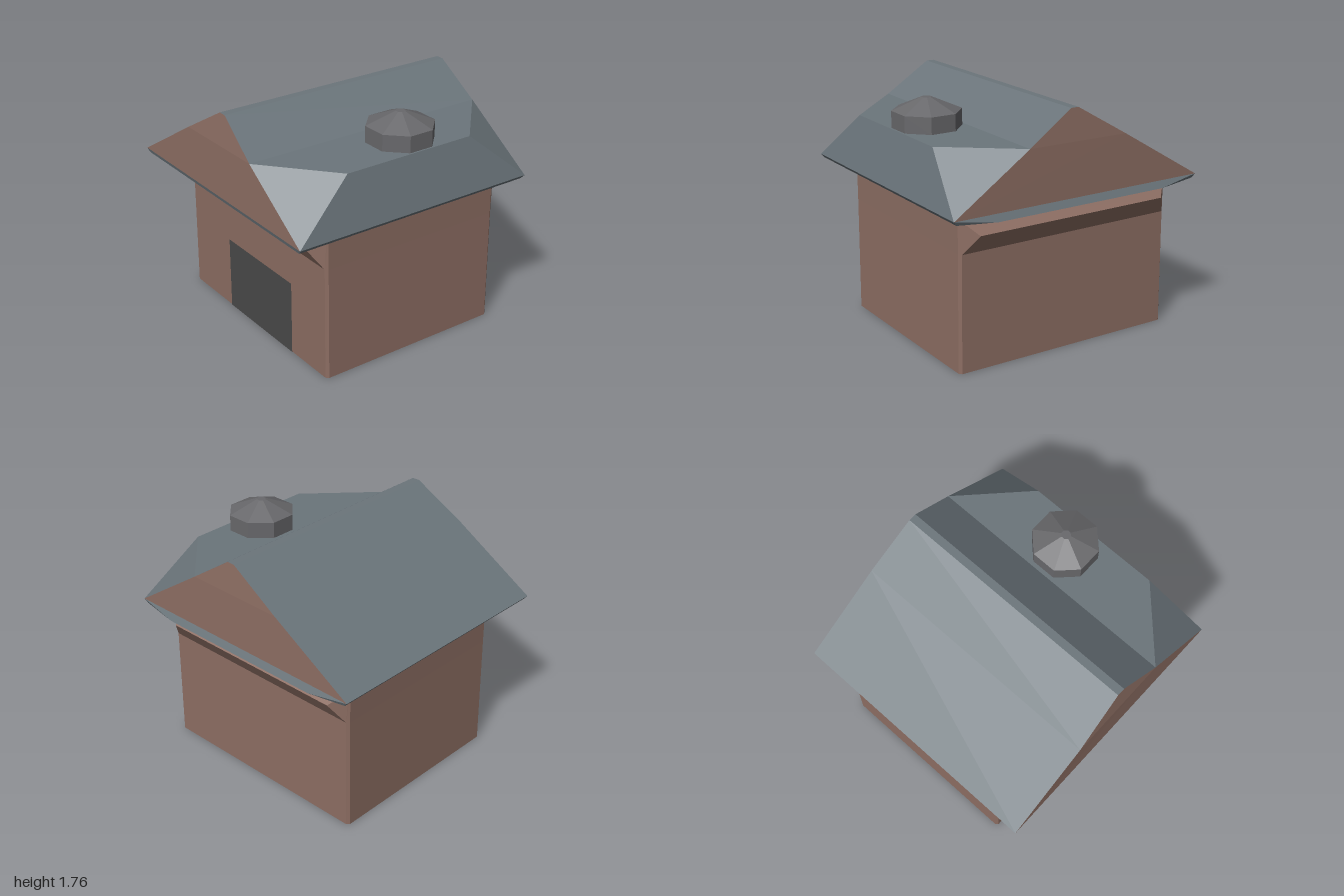
import * as THREE from 'three';

const BROWN = 0x8d6e63, SLATE = 0x6b757b, DOOR = 0x4a4a4a, CAP = 0x68686b;

const material = (color) =>
  new THREE.MeshStandardMaterial({ color, flatShading: true, side: THREE.DoubleSide });

// Flat panels: each polygon is a loop of [x, y, z] corners, counter-clockwise from outside
function panels(name, color, polygons) {
  const out = [];
  for (const p of polygons) {
    for (let i = 1; i < p.length - 1; i++) out.push(...p[0], ...p[i], ...p[i + 1]);
  }
  const geometry = new THREE.BufferGeometry();
  geometry.setAttribute('position', new THREE.Float32BufferAttribute(out, 3));
  geometry.computeVertexNormals();
  const mesh = new THREE.Mesh(geometry, material(color));
  mesh.name = name;
  return mesh;
}

// Quads between two equally long rows of points; flip reverses the winding
function strip(a, b, flip = false) {
  const quads = [];
  for (let i = 0; i < a.length - 1; i++) {
    const q = [a[i], a[i + 1], b[i + 1], b[i]];
    quads.push(flip ? q.reverse() : q);
  }
  return quads;
}

function createWalls() {
  const walls = new THREE.Group();
  walls.name = 'walls';

  // Front and back walls: rows of [y, half width, outward offset] with a pointed cornice
  const rows = [[0, 0.85, 0], [0.85, 0.845, 0], [0.99, 0.755, 0.09], [1.09, 0.855, -0.01]];
  for (const [name, z, s] of [['frontWall', 0.68, 1], ['backWall', -0.79, -1]]) {
    const side = (k) => rows.map(([y, w, d]) => [k * w, y, z + s * d]);
    const left = side(-1), right = side(1);
    const faces = strip(left, right, s > 0);
    for (const [k, edge] of [[-1, left], [1, right]]) {
      // cornice end and the narrow corner bevel
      const bevelTop = [k * 0.862, 1.09, z - s * 0.02];
      const bevelLow = [k * 0.868, 0, z - s * 0.02];
      const bevelMid = [k * 0.862, 0.85, z - s * 0.02];
      const flip = k * s < 0;
      for (const f of [[edge[0], bevelLow, bevelMid, edge[1]],
        [edge[1], bevelMid, bevelTop, edge[3]], [edge[1], edge[3], edge[2]]]) {
        faces.push(flip ? f.reverse() : f);
      }
    }
    walls.add(panels(name, BROWN, faces));
  }

  // Plain side walls
  for (const [name, k] of [['leftWall', 1], ['rightWall', -1]]) {
    const row = (z) => [[k * 0.868, 0, z], [k * 0.862, 0.85, z], [k * 0.862, 1.09, z]];
    walls.add(panels(name, BROWN, strip(row(0.66), row(-0.77), k > 0)));
  }
  return walls;
}

function createRoof() {
  const roof = new THREE.Group();
  roof.name = 'roof';

  // Gable outline, ordered from one eave over the ridge to the other: [x, y, inset]
  const outline = [[-1, 1.15, 0], [-0.36, 1.535, 0.003], [0.03, 1.765, 0.03],
    [0.09, 1.765, 0.03], [0.42, 1.54, 0.005], [1, 1.15, 0]];
  const front = outline.map(([x, y, d]) => [x, y, 0.98 - d]);
  const back = outline.map(([x, y, d]) => [x, y, -0.955 + d * 0.6]);

  // Main slopes
  roof.add(panels('roofSlopes', SLATE, strip(front.slice(0, 5), back.slice(0, 5))));

  // Raised section with cut corners on the left slope
  const kneeF = [0.89, 1.525, 0.53], kneeB = [0.89, 1.525, -0.51];
  roof.add(panels('raisedRoof', SLATE, [
    [front[4], kneeF, kneeB, back[4]],
    [kneeF, front[5], back[5], kneeB],
    [front[4], front[5], kneeF],
    [back[4], kneeB, back[5]],
  ]));

  // Gables, bent slightly inward above the knee
  const gable = (p) => [[p[0], p[5], p[4], p[1]], [p[1], p[4], p[3], p[2]]];
  roof.add(panels('frontGable', BROWN, gable(front)));
  roof.add(panels('backGable', BROWN, gable(back).map((f) => f.reverse())));

  // Eave edge, then soffit back to the walls
  const top = [front[0], front[5], back[5], back[0]];
  const edge = [[-0.975, 1.12, 0.97], [0.975, 1.12, 0.97], [0.975, 1.12, -0.945], [-0.975, 1.12, -0.945]];
  const inner = [[-0.86, 1.085, 0.67], [0.86, 1.085, 0.67], [0.86, 1.085, -0.78], [-0.86, 1.085, -0.78]];
  const lip = [[0.68, 1.1, -0.98], [-0.68, 1.1, -0.98]];
  const fascia = [], endSoffit = [], sideSoffit = [];
  for (let i = 0; i < 4; i++) {
    const j = (i + 1) % 4;
    if (i === 2) {
      // the back eave juts out to a thin lip
      fascia.push([top[2], edge[2], lip[0]], [top[2], lip[0], lip[1], top[3]], [top[3], lip[1], edge[3]]);
      endSoffit.push([edge[2], inner[2], lip[0]], [lip[0], inner[2], inner[3], lip[1]],
        [lip[1], inner[3], edge[3]]);
    } else {
      fascia.push([edge[i], edge[j], top[j], top[i]]);
      (i === 0 ? endSoffit : sideSoffit).push([inner[i], inner[j], edge[j], edge[i]]);
    }
  }
  roof.add(panels('eaveEdge', SLATE, fascia));
  roof.add(panels('gableSoffits', SLATE, endSoffit));
  roof.add(panels('sideSoffits', BROWN, sideSoffit));
  return roof;
}

export function createModel() {
  const model = new THREE.Group();
  model.name = 'house';
  model.add(createWalls(), createRoof());

  // Door panel on the front wall
  const door = new THREE.Mesh(new THREE.PlaneGeometry(0.81, 0.56), material(DOOR));
  door.material.side = THREE.FrontSide;
  door.name = 'door';
  door.position.set(0.045, 0.28, 0.684);
  model.add(door);

  // Eight-sided roof vent, open underneath
  const profile = [[0.245, 1.54], [0.245, 1.66], [0.035, 1.75], [0, 1.75]]
    .map(([r, y]) => new THREE.Vector2(r, y));
  const vent = new THREE.Mesh(new THREE.LatheGeometry(profile, 8, Math.PI / 8), material(CAP));
  vent.name = 'roofVent';
  vent.position.set(0.677, 0, -0.07);
  model.add(vent);
  return model;
}
